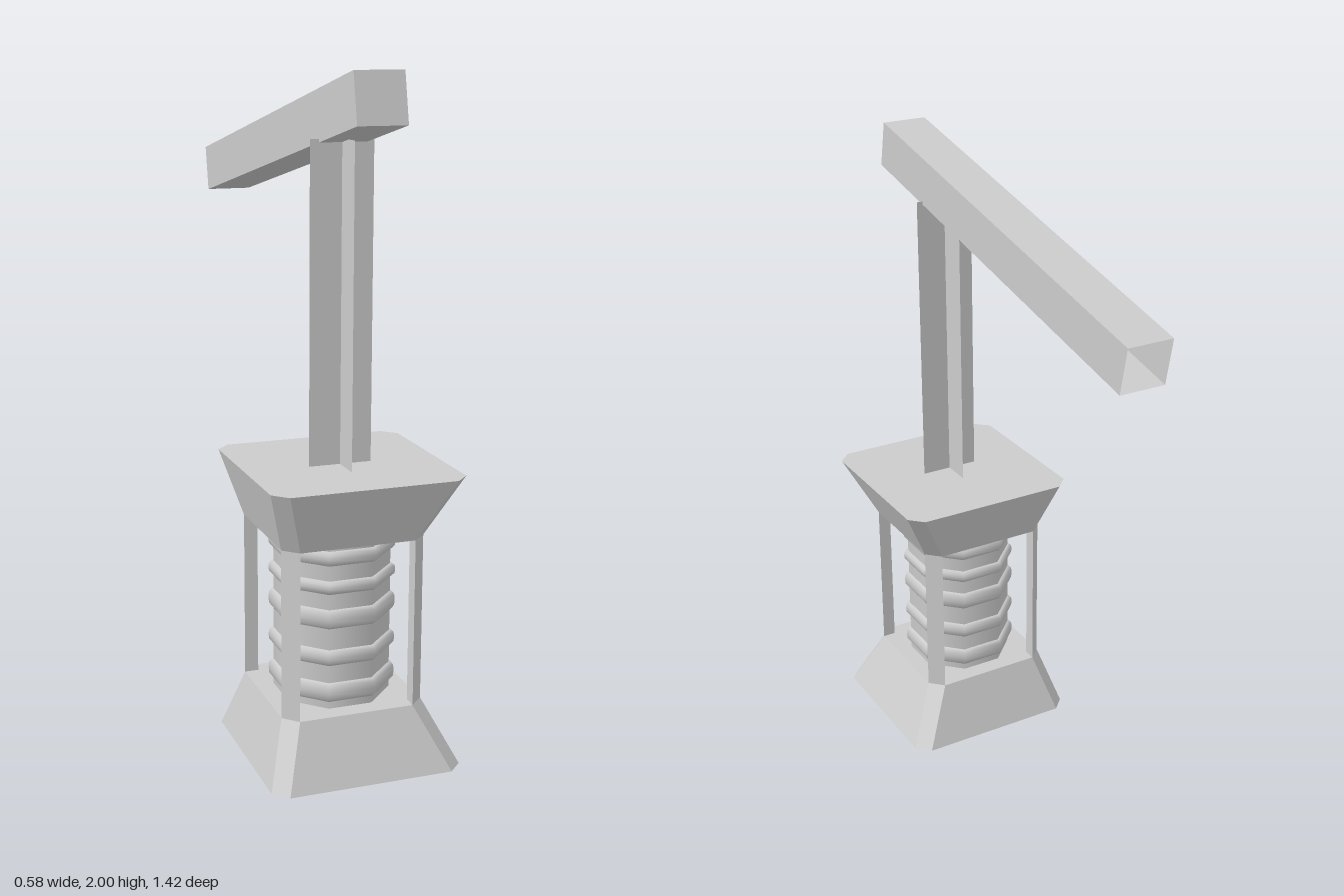
import * as THREE from 'three';
import { ConvexGeometry } from 'three/addons/geometries/ConvexGeometry.js';

const CZ = 0.406;      // centre of the cage in z
const WAIST_X = -0.02; // the waist sits slightly to one side
const CUT = 0.042;     // corner chamfer
const WAIST = 0.215;   // half width of the waist

const flat = new THREE.MeshStandardMaterial({ color: 0xcccccc, flatShading: true });
const smooth = new THREE.MeshStandardMaterial({ color: 0xcccccc });
const thin = new THREE.MeshStandardMaterial({ color: 0xcccccc, flatShading: true, side: THREE.DoubleSide });

// Square outline with chamfered corners at height y
function outline(cx, half, y) {
  const points = [];
  for (const sx of [-1, 1]) for (const sz of [-1, 1]) {
    points.push(new THREE.Vector3(cx + sx * half, y, CZ + sz * (half - CUT)));
    points.push(new THREE.Vector3(cx + sx * (half - CUT), y, CZ + sz * half));
  }
  return points;
}

export function createModel() {
  const model = new THREE.Group();
  const add = (name, geometry, material, x = 0, y = 0, z = 0) => {
    const mesh = new THREE.Mesh(geometry, material);
    mesh.name = name;
    mesh.position.set(x, y, z);
    model.add(mesh);
    return mesh;
  };

  // Flared base and cap
  add('base', new ConvexGeometry([...outline(0, 0.29, 0), ...outline(WAIST_X, WAIST, 0.19)]), flat);
  add('cap', new ConvexGeometry([...outline(WAIST_X, WAIST, 0.693), ...outline(0, 0.29, 0.88)]), flat);

  // Triangular corner pillars
  const inner = WAIST - CUT;
  for (const sx of [-1, 1]) for (const sz of [-1, 1]) {
    const points = [];
    for (const y of [0.19, 0.693]) {
      for (const [a, b] of [[WAIST, inner], [inner, WAIST], [inner, inner]]) {
        points.push(new THREE.Vector3(WAIST_X + sx * a, y, CZ + sz * b));
      }
    }
    add('pillar', new ConvexGeometry(points), flat);
  }

  // Eight-sided core with rounded rings
  add('core', new THREE.CylinderGeometry(0.172, 0.172, 0.503, 8, 1, true, Math.PI / 8), smooth, WAIST_X, 0.4415, CZ);
  const rings = [[0.646, 0.022], [0.559, 0.02], [0.464, 0.029], [0.347, 0.024], [0.241, 0.029]];
  for (const [y, h] of rings) {
    const profile = [[0.16, -1], [0.177, -0.95], [0.185, -0.6], [0.187, 0], [0.185, 0.6], [0.177, 0.95], [0.16, 1]]
      .map(([r, t]) => new THREE.Vector2(r, t * h));
    add('ring', new THREE.LatheGeometry(profile, 8, Math.PI / 8), smooth, WAIST_X, y, CZ);
  }

  // Post made of two crossed sheets
  for (const turn of [0, Math.PI / 2]) {
    add('postSheet', new THREE.PlaneGeometry(0.19, 0.93), thin, -0.003, 1.345, 0.425).rotation.y = turn;
  }

  // Sloping hollow beam, open at the back
  const tube = new THREE.BoxGeometry(0.144, 0.144, 1.418);
  tube.setIndex(Array.from(tube.index.array).slice(0, 30));
  tube.clearGroups();
  add('beam', tube, thin, 0, 1.785, 0.002).rotation.x = -0.206;

  return model;
}
